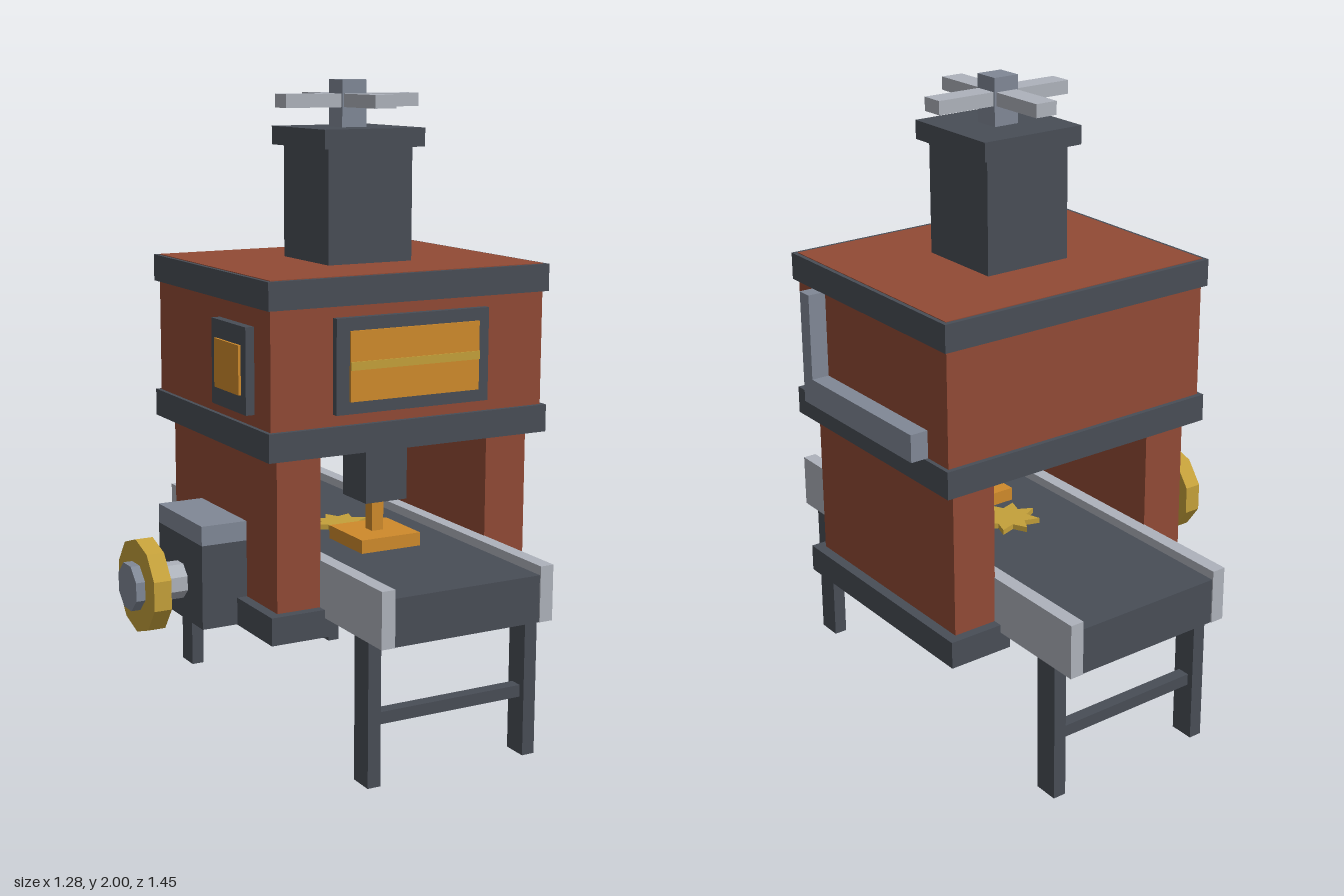
import * as THREE from 'three';

const mat = (name, color) => new THREE.MeshStandardMaterial({ name, color });

export function createModel() {
  const iron = mat('dark iron', 0x484d56);
  const brick = mat('brick red', 0x914a35);
  const steel = mat('mid steel', 0x808896);
  const pale = mat('pale steel', 0xadb2bb);
  const amber = mat('amber', 0xcf8a2b);
  const gold = mat('gold', 0xc4a03a);

  const model = new THREE.Group();
  model.name = 'conveyorPress';
  const add = (name, geometry, material) => {
    const mesh = new THREE.Mesh(geometry, material);
    mesh.name = name;
    model.add(mesh);
    return mesh;
  };
  // Box given by its limits on each axis
  const box = (name, material, x0, x1, y0, y1, z0, z1) => {
    const g = new THREE.BoxGeometry(x1 - x0, y1 - y0, z1 - z0);
    g.translate((x0 + x1) / 2, (y0 + y1) / 2, (z0 + z1) / 2);
    return add(name, g, material);
  };
  // Faceted disc with its axis along x
  const disc = (name, material, x0, x1, y, r, sides, turn) => {
    const g = new THREE.CylinderGeometry(r, r, x1 - x0, sides, 1, false, turn).toNonIndexed();
    g.rotateZ(Math.PI / 2).translate((x0 + x1) / 2, y, 0);
    g.computeVertexNormals();
    return add(name, g, material);
  };
  const cx = 0.115; // centre line of the machine

  // Conveyor: belt, rails and trestle legs
  box('belt', iron, cx - 0.245, cx + 0.245, 0.44, 0.583, -0.722, 0.722);
  for (const s of [-1, 1]) {
    const x = cx + s * 0.268;
    box('rail', pale, x - 0.022, x + 0.022, 0.44, 0.61, -0.725, 0.725);
    for (const z of [-0.61, 0.61])
      box('leg', iron, x - 0.021, x + 0.021, 0, 0.44, z - 0.04, z + 0.04);
  }
  for (const z of [-0.61, 0.61])
    box('legBrace', iron, cx - 0.25, cx + 0.25, 0.18, 0.217, z - 0.02, z + 0.02);

  // Side walls on their plinths
  for (const s of [-1, 1]) {
    const x = cx + s * 0.36;
    box('sideWall', brick, x - 0.072, x + 0.072, 0.465, 0.93, -0.362, 0.362);
    box('plinth', iron, x - 0.105, x + 0.105, 0.38, 0.465, -0.392, 0.392);
  }

  // Upper housing with two iron bands
  box('housing', brick, cx - 0.465, cx + 0.465, 0.929, 1.452, -0.39, 0.39);
  box('lowerBand', iron, cx - 0.478, cx + 0.478, 0.93, 1.015, -0.405, 0.405);
  box('upperBand', iron, cx - 0.478, cx + 0.478, 1.367, 1.45, -0.405, 0.405);

  // Tower and cross handle
  box('tower', iron, cx - 0.145, cx + 0.145, 1.45, 1.81, -0.145, 0.145);
  box('towerCap', iron, cx - 0.173, cx + 0.173, 1.8, 1.857, -0.173, 0.173);
  box('handleHub', steel, cx - 0.042, cx + 0.042, 1.857, 2, -0.042, 0.042);
  box('handleBarAcross', pale, cx - 0.231, cx + 0.231, 1.917, 1.958, -0.036, 0.036);
  box('handleBarAlong', pale, cx - 0.036, cx + 0.036, 1.9175, 1.9575, -0.231, 0.231);

  // Front furnace window
  box('frontWindowFrame', iron, -0.148, 0.372, 1.05, 1.333, 0.385, 0.412);
  box('frontWindowPane', amber, -0.105, 0.335, 1.087, 1.295, 0.41, 0.419);
  box('frontWindowBar', gold, -0.105, 0.335, 1.18, 1.205, 0.415, 0.423);

  // Small window on the right-hand side
  box('sideWindowFrame', iron, -0.378, -0.345, 1.05, 1.308, 0.057, 0.287);
  box('sideWindowPane', amber, -0.386, -0.377, 1.105, 1.252, 0.09, 0.255);

  // Bent pipe on the left-hand side
  box('pipeUpright', steel, 0.578, 0.637, 1.015, 1.367, 0.24, 0.29);
  box('pipeRun', steel, 0.578, 0.637, 1.015, 1.1, -0.29, 0.24);

  // Press ram over the belt
  const pz = 0.18;
  box('ram', iron, cx - 0.072, cx + 0.072, 0.73, 0.93, pz - 0.072, pz + 0.072);
  box('ramRod', amber, cx - 0.02, cx + 0.02, 0.62, 0.73, pz - 0.02, pz + 0.02);
  box('ramPlate', amber, cx - 0.103, cx + 0.103, 0.584, 0.626, pz - 0.103, pz + 0.103);

  // Toothed workpiece lying on the belt
  const star = new THREE.Shape();
  for (let i = 0; i < 16; i++) {
    const r = i % 2 ? 0.06 : 0.1, a = (i / 16) * Math.PI * 2;
    star[i ? 'lineTo' : 'moveTo'](r * Math.cos(a), r * Math.sin(a));
  }
  const cog = new THREE.ExtrudeGeometry(star, { depth: 0.018, bevelEnabled: false });
  cog.rotateX(-Math.PI / 2).translate(cx, 0.582, -0.04);
  add('workpiece', cog, gold);

  // Motor, shaft and drive wheel
  box('motor', iron, -0.465, -0.3, 0.381, 0.64, -0.16, 0.16);
  box('motorLid', steel, -0.465, -0.3, 0.64, 0.7, -0.16, 0.16);
  disc('shaft', pale, -0.54, -0.46, 0.498, 0.058, 8, Math.PI / 8);
  disc('wheelHub', steel, -0.64, -0.53, 0.498, 0.075, 8, Math.PI / 8);
  disc('driveWheel', gold, -0.611, -0.555, 0.497, 0.145, 10, Math.PI / 2);

  return model;
}
